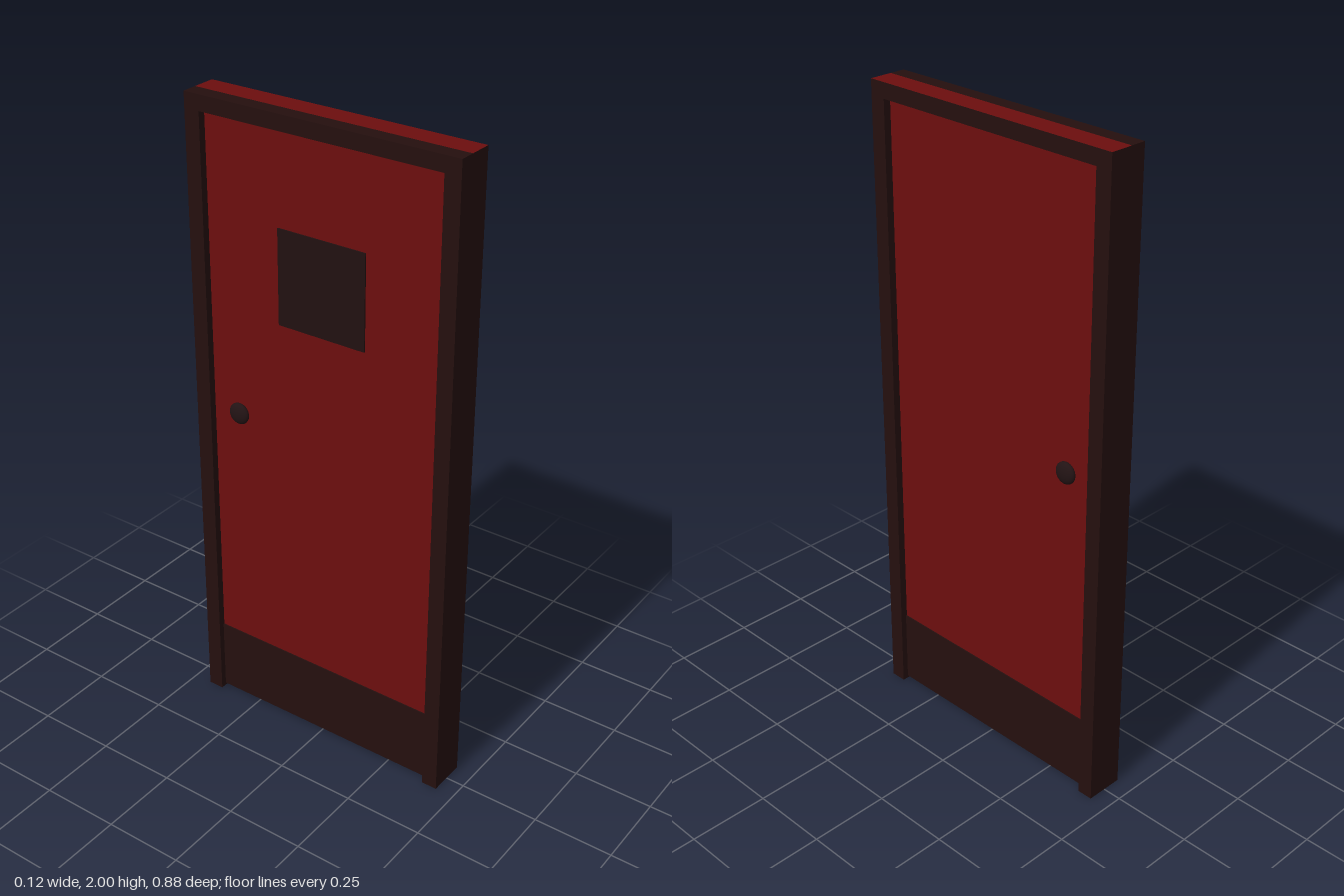
import * as THREE from 'three';

function material(name, color) {
  const m = new THREE.MeshStandardMaterial({ color });
  m.name = name;
  return m;
}

export function createModel() {
  const red = material('deep red paint', 0x6c0e0e);
  const dark = material('dark brown frame', 0x240f0e);
  const glass = material('dark window', 0x211010);
  const metal = material('dark metal', 0x221314);

  const door = new THREE.Group();
  door.name = 'door';

  const add = (name, geometry, mat, x, y, z) => {
    const mesh = new THREE.Mesh(geometry, mat);
    mesh.name = name;
    mesh.position.set(x, y, z);
    door.add(mesh);
    return mesh;
  };
  // Box given by its lower and upper corners
  const box = (name, mat, [x0, y0, z0], [x1, y1, z1]) =>
    add(name, new THREE.BoxGeometry(x1 - x0, y1 - y0, z1 - z0), mat,
      (x0 + x1) / 2, (y0 + y1) / 2, (z0 + z1) / 2);

  const depth = 0.06, half = 0.44, inner = 0.39, lintelY = 1.953;
  const face = 0.037;

  // Frame: two posts and a lintel whose top is painted in two colours
  for (const s of [-1, 1]) {
    const z = [s * half, s * inner].sort((a, b) => a - b);
    box(s > 0 ? 'frontPost' : 'backPost', dark, [-depth, 0, z[0]], [depth, lintelY, z[1]]);
  }
  box('lintelDarkSide', dark, [-depth, lintelY, -half], [-0.012, 2, half]);
  box('lintelRedSide', [dark, dark, red, red, dark, dark],
    [-0.012, lintelY, -half], [depth, 2, half]);

  // Recessed door leaf
  box('doorLeaf', red, [-face, 0.008, -inner], [face, lintelY, inner]);

  // Kick plate and knob on both faces
  for (const s of [-1, 1]) {
    const plate = new THREE.BoxGeometry(0.004, 0.237, inner * 2);
    add('kickPlate', plate, dark, s * (face + 0.002), 0.1265, 0);

    const knob = add('knob', new THREE.SphereGeometry(0.034, 24, 16), metal,
      s * (face + 0.006), 1.05, -0.295);
    knob.scale.x = 0.45;
  }

  // Square window on one face
  add('windowPane', new THREE.BoxGeometry(0.004, 0.29, 0.29), glass, -face - 0.002, 1.525, 0);

  return door;
}
